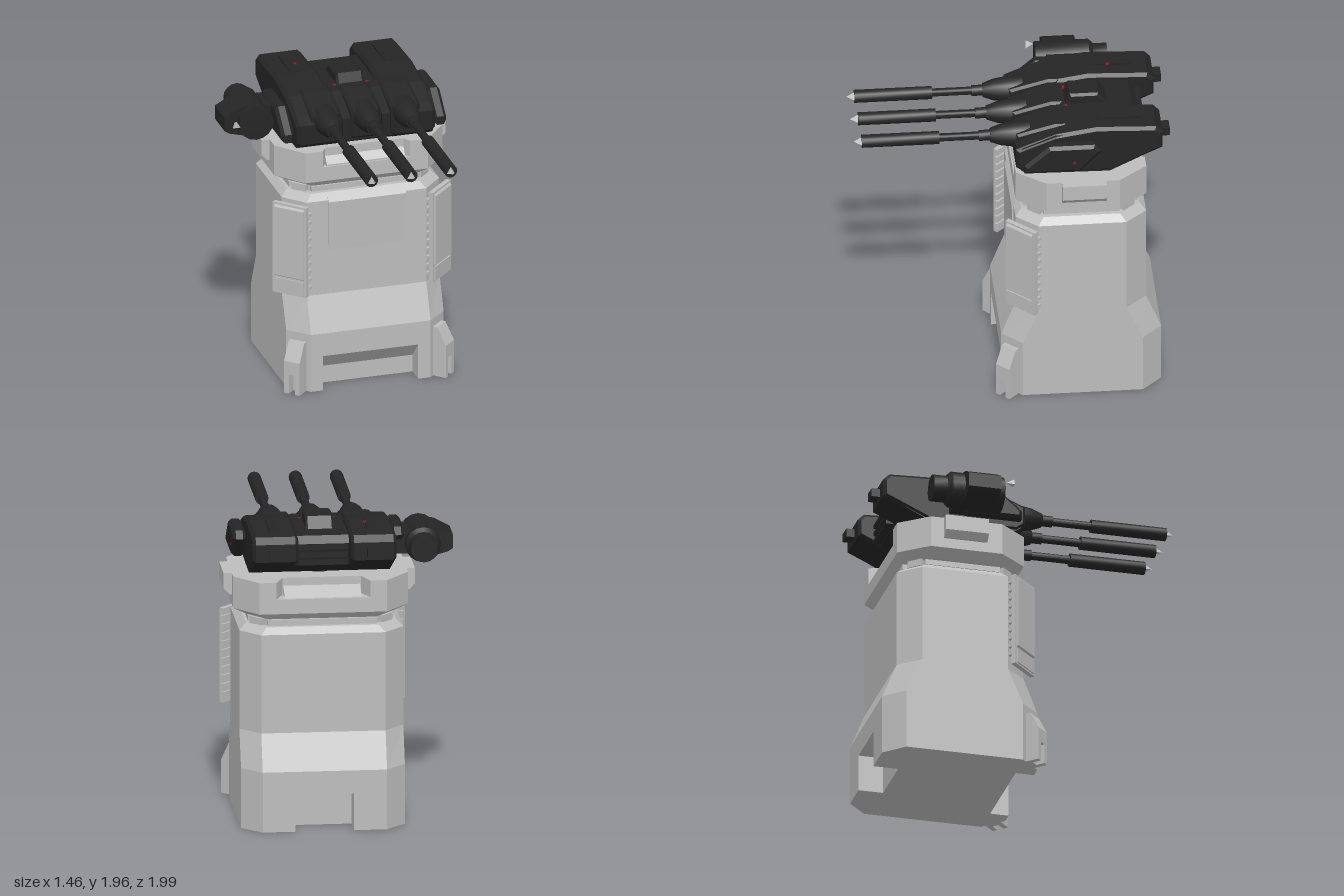
import * as THREE from 'three';
import { toCreasedNormals } from 'three/addons/utils/BufferGeometryUtils.js';

const CX = 0.123; // tower centre line
const mat = (name, color) => Object.assign(new THREE.MeshStandardMaterial({ color }), { name });

export function createModel() {
  const root = new THREE.Group();
  const concrete = mat('lightGrey', 0xbcbcbc);
  const steel = mat('darkSteel', 0x252525);
  const red = mat('red', 0xb01010);

  const add = (name, geo, material, parent = root) => {
    const m = new THREE.Mesh(geo, material);
    m.name = name;
    parent.add(m);
    return m;
  };
  const box = (name, x0, x1, y0, y1, z0, z1, material, parent) => {
    const m = add(name, new THREE.BoxGeometry(x1 - x0, y1 - y0, z1 - z0), material, parent);
    m.position.set((x0 + x1) / 2, (y0 + y1) / 2, (z0 + z1) / 2);
    return m;
  };
  // side profile of [z, y] points, extruded across x, with an optional bevel
  const slab = (name, pts, x0, x1, material, bevel = 0, parent = root) => {
    const shape = new THREE.Shape(pts.map(([z, y]) => new THREE.Vector2(-z, y)));
    const geo = new THREE.ExtrudeGeometry(shape, {
      depth: x1 - x0 - 2 * bevel, bevelEnabled: bevel > 0, bevelSize: bevel,
      bevelThickness: bevel, bevelOffset: -bevel, bevelSegments: 1,
    });
    geo.rotateY(Math.PI / 2).translate(x0 + bevel, 0, 0);
    return add(name, geo, material, parent);
  };
  // plan outline of [x, z] points, extruded upwards
  const plan = (name, pts, y0, y1, material) => {
    const shape = new THREE.Shape(pts.map(([x, z]) => new THREE.Vector2(x, -z)));
    const geo = new THREE.ExtrudeGeometry(shape, { depth: y1 - y0, bevelEnabled: false });
    return add(name, geo.rotateX(-Math.PI / 2).translate(0, y0, 0), material);
  };
  // chamfered rectangle: half width, front z, back z, chamfer in x and z; counter-clockwise from above
  const octagon = (hw, zf, zb, cx, cz, frontNotch = [], backNotch = []) => [
    [CX - hw + cx, zf], ...frontNotch, [CX + hw - cx, zf], [CX + hw, zf - cz], [CX + hw, zb + cz],
    [CX + hw - cx, zb], ...backNotch, [CX - hw + cx, zb], [CX - hw, zb + cz], [CX - hw, zf - cz],
  ];
  // faceted solid through octagons at several heights
  const loft = (name, levels, material) => {
    const rings = levels.map(([y, ...o]) => octagon(...o).map(([x, z]) => [x, y, z]));
    const pos = [];
    const tri = (...p) => p.forEach((v) => pos.push(...v));
    for (let r = 0; r + 1 < rings.length; r++) {
      for (let i = 0; i < 8; i++) {
        const j = (i + 1) % 8, a = rings[r], b = rings[r + 1];
        tri(a[i], a[j], b[j]);
        tri(a[i], b[j], b[i]);
      }
    }
    const top = rings[rings.length - 1], bottom = rings[0];
    for (let i = 1; i < 7; i++) {
      tri(top[0], top[i], top[i + 1]);
      tri(bottom[0], bottom[i + 1], bottom[i]);
    }
    const geo = new THREE.BufferGeometry();
    geo.setAttribute('position', new THREE.Float32BufferAttribute(pos, 3));
    geo.computeVertexNormals();
    return add(name, geo, material);
  };
  // turned part along z from [radius, z] points
  const turned = (name, pts, x, y, material, parent) => {
    const geo = new THREE.LatheGeometry(pts.map(([r, z]) => new THREE.Vector2(r, z)), 16);
    const m = add(name, toCreasedNormals(geo.rotateX(Math.PI / 2), 0.6), material, parent);
    m.position.set(x, y, 0);
    return m;
  };

  // --- tower base with a front recess and a rear doorway
  plan('base', octagon(0.518, 0.07, -0.94, 0.125, 0.125,
    [[-0.19, 0.07], [-0.19, -0.07], [0.435, -0.07], [0.435, 0.07]],
    [[0.31, -0.94], [0.31, -0.78], [-0.06, -0.78], [-0.06, -0.94]]), 0, 0.24, concrete);
  slab('frontRecessCeiling', [[0.07, 0.24], [-0.07, 0.24], [-0.07, 0], [-0.05, 0], [-0.05, 0.115], [0.07, 0.235]],
    -0.19, 0.435, concrete);

  // --- tower shaft and neck
  loft('shaft', [
    [0.24, 0.518, 0.07, -0.94, 0.125, 0.125], [0.39, 0.518, 0.07, -0.94, 0.125, 0.125],
    [0.62, 0.518, -0.02, -0.845, 0.125, 0.135], [1.26, 0.518, -0.02, -0.845, 0.125, 0.135],
    [1.3, 0.475, -0.06, -0.805, 0.12, 0.13],
  ], concrete);
  loft('neck', [[1.29, 0.44, -0.09, -0.775, 0.11, 0.12], [1.36, 0.44, -0.09, -0.775, 0.11, 0.12]], concrete);
  slab('frontPanel', [[-0.03, 0.92], [-0.019, 0.92], [-0.008, 1.25], [-0.03, 1.28]], -0.13, 0.38, concrete);
  box('neckPlateFront', -0.225, 0.47, 1.31, 1.345, -0.1, -0.07, concrete);
  box('neckPlateBack', -0.225, 0.47, 1.31, 1.345, -0.795, -0.765, concrete);
  for (const s of [-1, 1]) {
    const x = CX + s * 0.445;
    box('neckPlateSide', x - 0.015, x + 0.015, 1.31, 1.345, -0.675, -0.19, concrete);
    for (const z of [-0.15, -0.715]) {
      const lug = box('neckLug', -0.05, 0.05, 1.305, 1.35, -0.03, 0.03, concrete);
      lug.position.set(CX + s * 0.395, 1.3275, z);
      lug.rotation.y = (z > -0.4 ? 1 : -1) * s * Math.PI / 4;
    }
  }

  // --- collar
  loft('collarLower', [
    [1.35, 0.47, -0.07, -0.795, 0.13, 0.15], [1.395, 0.553, -0.02, -0.845, 0.15, 0.18],
    [1.49, 0.553, -0.02, -0.845, 0.15, 0.18],
  ], concrete);
  plan('collarUpper', octagon(0.553, -0.02, -0.845, 0.15, 0.18,
    [[-0.165, -0.02], [-0.135, -0.07], [0.38, -0.07], [0.41, -0.02]],
    [[0.42, -0.845], [0.37, -0.73], [-0.125, -0.73], [-0.175, -0.845]]), 1.49, 1.6, concrete);
  slab('collarFrontSill', [[-0.03, 1.49], [-0.03, 1.5], [-0.075, 1.55], [-0.075, 1.49]], -0.135, 0.38, concrete);
  slab('collarBackSill', [[-0.82, 1.49], [-0.735, 1.49], [-0.735, 1.55]], -0.12, 0.365, concrete);
  for (const s of [-1, 1]) {
    // wedge-shaped block on each side of the collar
    const sh = new THREE.Shape([[0, 1.46], [0.018, 1.46], [0.055, 1.5], [0.055, 1.6], [0, 1.6]]
      .map(([x, y]) => new THREE.Vector2(x, y)));
    const geo = new THREE.ExtrudeGeometry(sh, { depth: 0.28, bevelEnabled: false }).translate(0, 0, -0.14);
    const block = add('collarSideBlock', geo, concrete);
    block.position.set(CX + s * 0.55, 0, -0.44);
    block.rotation.y = s > 0 ? 0 : Math.PI;
  }

  // --- diagonal corner armour and feet
  for (const s of [-1, 1]) {
    const panel = new THREE.Group();
    panel.name = 'cornerPanel';
    panel.position.set(CX + s * 0.493, 0, -0.047);
    panel.rotation.y = s * Math.PI / 4;
    root.add(panel);
    box('panelPlate', -0.12, 0.12, 0.635, 1.25, -0.02, 0.012, concrete, panel);
    slab('panelFace', [[0.01, 0.75], [0.024, 0.76], [0.024, 1.225], [0.01, 1.24]], -0.105, 0.105, concrete, 0, panel);
    box('panelFoot', -0.105, 0.105, 0.645, 0.74, 0.01, 0.02, concrete, panel);
    box('panelMount', -0.06, 0.06, 0.7, 1.2, -0.07, -0.015, concrete, panel);
    for (let i = 0; i < 10; i++) {
      const y = 0.69 + i * 0.0555;
      box('panelRib', -0.135, 0.135, y, y + 0.018, -0.032, -0.012, concrete, panel);
    }

    const foot = new THREE.Group();
    foot.name = 'foot';
    foot.position.set(CX + s * 0.456, 0, 0.008);
    foot.rotation.y = s * Math.PI / 4;
    root.add(foot);
    const upper = [[-0.06, 0.13], [0.09, 0.13], [0.09, 0.22], [0.03, 0.335], [-0.06, 0.335]];
    slab('footTop', upper, -0.055, 0.055, concrete, 0, foot);
    box('footProng', -0.055, -0.022, 0, 0.13, -0.06, 0.09, concrete, foot);
    box('footProng', 0.022, 0.055, 0, 0.13, -0.06, 0.09, concrete, foot);
    box('footWeb', -0.022, 0.022, 0, 0.13, -0.06, 0.03, concrete, foot);
  }

  // --- turret hull
  const pivot = add('turretPivot', new THREE.CylinderGeometry(0.085, 0.085, 0.06, 20), steel);
  pivot.position.set(CX, 1.61, -0.52);
  slab('hullCore', [[-0.05, 1.64], [-0.09, 1.615], [-0.61, 1.607], [-0.8, 1.7], [-0.82, 1.84], [-0.78, 1.885],
    [-0.27, 1.885], [-0.06, 1.8]], -0.32, 0.57, steel);
  for (const s of [-1, 1]) {
    const x = CX + s * 0.31;
    slab('hullSide', [[-0.02, 1.66], [-0.075, 1.62], [-0.61, 1.607], [-0.945, 1.76], [-0.945, 1.875], [-0.905, 1.915],
      [-0.53, 1.93], [-0.27, 1.89], [-0.09, 1.82], [-0.02, 1.79]], x - 0.145, x + 0.145, steel, 0.02);
    box('rearNozzle', x - 0.045, x + 0.045, 1.79, 1.845, -0.998, -0.93, steel);
    box('topStrip', x - 0.03, x + 0.03, 1.9, 1.935, -0.81, -0.54, steel);
    const xa = CX + s * 0.5;
    slab('sideArmour', [[-0.065, 1.665], [-0.065, 1.72], [-0.22, 1.855], [-0.51, 1.855], [-0.555, 1.81], [-0.42, 1.665]],
      xa - 0.042, xa + 0.042, steel, 0.02);
    const lamp = box('sideMarker', -0.004, 0.004, -0.008, 0.008, -0.008, 0.008, red);
    lamp.position.set(CX + s * 0.54, 1.737, -0.38);
    const dot = box('deckMarker', -0.01, 0.01, -0.004, 0.004, -0.008, 0.008, red);
    dot.position.set(CX + s * 0.107, 1.888, -0.365);
    // nose fin between neighbouring guns
    slab('noseFin', [[-0.03, 1.65], [-0.1, 1.62], [-0.4, 1.62], [-0.4, 1.89], [-0.27, 1.89], [-0.03, 1.8]],
      CX + s * 0.13 - 0.023, CX + s * 0.13 + 0.023, steel);
  }
  box('rearMarker', -0.165, -0.145, 1.932, 1.938, -0.67, -0.65, red);
  slab('roofHatch', [[-0.36, 1.88], [-0.39, 1.955], [-0.57, 1.955], [-0.63, 1.88]], CX - 0.09, CX + 0.09, steel, 0.015);
  for (let i = 0; i < 3; i++) {
    box('rearRail', -0.03, 0.28, 1.71 + i * 0.05, 1.735 + i * 0.05, -0.85, -0.79, steel);
  }

  // --- three guns with tapered mantlets
  const spike = (name, x, y, z, dir) => {
    const geo = new THREE.ConeGeometry(0.03, 0.05, 3).rotateX(dir * Math.PI / 2);
    if (dir > 0) geo.rotateZ(Math.PI);
    add(name, toCreasedNormals(geo, 0.3), concrete).position.set(x, y, z);
  };
  for (const x of [CX - 0.26, CX, CX + 0.26]) {
    slab('mantlet', [[-0.03, 1.67], [-0.08, 1.625], [-0.34, 1.62], [-0.34, 1.905], [-0.27, 1.905], [-0.1, 1.86], [-0.03, 1.84]],
      x - 0.095, x + 0.095, steel, 0.015);
    turned('barrel', [[0, -0.12], [0.085, -0.12], [0.082, -0.02], [0.07, 0.06], [0.045, 0.13], [0.035, 0.13], [0.035, 0.2],
      [0.026, 0.2], [0.026, 0.45], [0.042, 0.45], [0.042, 0.94], [0, 0.94]], x, 1.796, steel);
    spike('muzzleTip', x, 1.796, 0.965, 1);
  }

  // --- sensor pod on the side
  turned('podBody', [[0, -0.6], [0.09, -0.6], [0.113, -0.575], [0.113, -0.235], [0, -0.23]], -0.535, 1.75, steel);
  turned('podRear', [[0, -0.69], [0.085, -0.69], [0.085, -0.59]], -0.53, 1.75, steel);
  const wing = new THREE.Shape([[-0.73, 1.7], [-0.7, 1.68], [-0.54, 1.637], [-0.54, 1.863], [-0.63, 1.845], [-0.73, 1.79]]
    .map(([x, y]) => new THREE.Vector2(x, y)));
  add('podWing', new THREE.ExtrudeGeometry(wing, { depth: 0.21, bevelEnabled: false }).translate(0, 0, -0.495), steel);
  box('podMount', -0.46, -0.3, 1.68, 1.83, -0.52, -0.3, steel);
  spike('podTip', -0.68, 1.77, -0.215, -1);

  return root;
}
